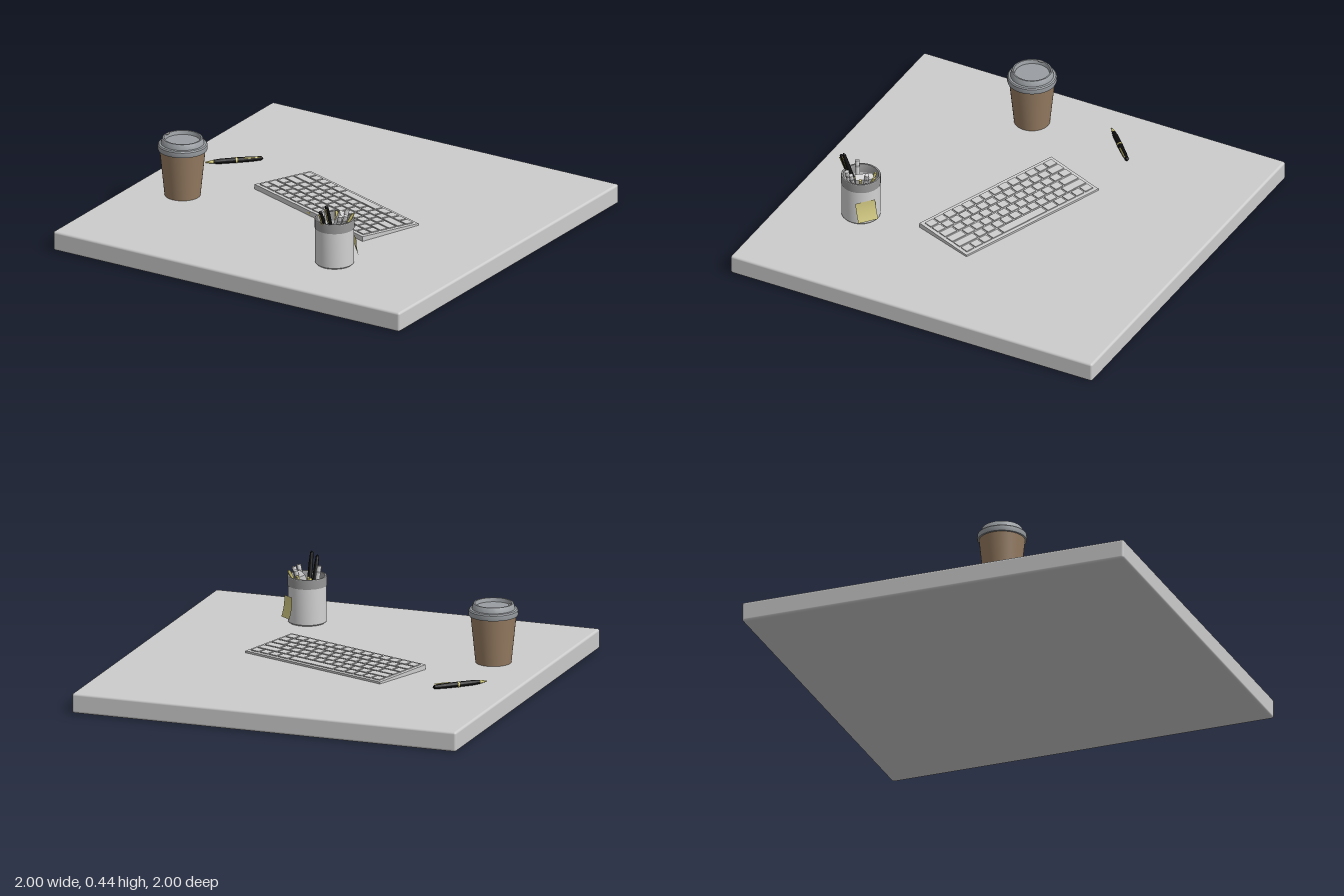
import * as THREE from 'three';
import { toCreasedNormals } from 'three/addons/utils/BufferGeometryUtils.js';
import { RoundedBoxGeometry } from 'three/addons/geometries/RoundedBoxGeometry.js';

const V = (x, y, z) => new THREE.Vector3(x, y, z);
const TOP = 0.1; // height of the desk surface

function makeMaterials() {
  const colors = {
    lightGrey: 0xcccccc, white: 0xd2d2d2, lidGrey: 0x9a9ea2, bandGrey: 0x969696,
    kraft: 0x967c62, black: 0x0c0c0c, gold: 0xd6cc78, noteYellow: 0xd2c982,
  };
  const mats = {};
  for (const [name, color] of Object.entries(colors)) {
    mats[name] = new THREE.MeshStandardMaterial({ color });
    mats[name].name = name;
  }
  mats.noteYellow.side = THREE.DoubleSide;
  return mats;
}

function add(parent, name, geometry, material, x = 0, y = 0, z = 0) {
  const mesh = new THREE.Mesh(geometry, material);
  mesh.name = name;
  mesh.position.set(x, y, z);
  parent.add(mesh);
  return mesh;
}

function group(parent, name, x, y, z) {
  const g = new THREE.Group();
  g.name = name;
  g.position.set(x, y, z);
  parent.add(g);
  return g;
}

// Turned shape from [radius, height] pairs, with sharp edges kept
function turned(profile, segments = 40) {
  const points = profile.map(([r, y]) => new THREE.Vector2(r, y));
  return toCreasedNormals(new THREE.LatheGeometry(points, segments), 0.5);
}

function buildCoffeeCup(root, m) {
  const cup = group(root, 'coffeeCup', -0.724, TOP, 0.255);
  add(cup, 'paperCup', turned([[0, 0.004], [0.082, 0.004], [0.084, 0], [0.088, 0], [0.113, 0.242]]), m.kraft);
  add(cup, 'lid', turned([
    [0.108, 0.236], [0.12, 0.238], [0.122, 0.244], [0.121, 0.264], [0.116, 0.27],
    [0.106, 0.272], [0.1, 0.295], [0.097, 0.299], [0.09, 0.299], [0.085, 0.28], [0, 0.28],
  ]), m.lidGrey);
  // Sip hole near the left edge of the recess
  const hole = add(cup, 'sipHole', new THREE.CylinderGeometry(0.008, 0.008, 0.003, 14), m.bandGrey, -0.087, 0.299, 0);
  hole.scale.z = 1.7;
}

// A pen standing along +y with its golden tip at y = 0
function makePen(m, length, r) {
  const pen = new THREE.Group();
  pen.name = 'pen';
  const tip = length * 0.14, mid = length * 0.52;
  add(pen, 'tip', turned([[0, 0], [r * 0.2, 0.002], [r * 0.7, tip]], 18), m.gold);
  add(pen, 'lowerBarrel', turned([[r * 0.7, tip], [r * 0.95, tip * 1.8], [r, mid]], 18), m.black);
  add(pen, 'middleRing', turned([[r, mid], [r * 1.1, mid], [r * 1.1, mid + 0.008], [r, mid + 0.008]], 18), m.gold);
  add(pen, 'upperBarrel', turned([[r, mid + 0.008], [r * 0.95, length * 0.8], [r * 0.72, length * 0.97], [0, length]], 18), m.black);
  add(pen, 'clip', new THREE.BoxGeometry(r * 0.45, length * 0.28, r * 0.3), m.gold, 0, length * 0.8, r * 1.15);
  add(pen, 'clipFoot', new THREE.BoxGeometry(r * 0.45, r * 0.5, r * 0.9), m.gold, 0, length * 0.93, r * 0.9);
  return pen;
}

// Place an upright object so that it runs from one point towards another
function aim(object, from, to) {
  object.position.copy(from);
  object.quaternion.setFromUnitVectors(V(0, 1, 0), to.clone().sub(from).normalize());
  return object;
}

function buildKeyboard(root, m) {
  const length = 0.862, depth = 0.344, low = 0.01, high = 0.025;
  const keyboard = group(root, 'keyboard', 0, TOP, -0.005);
  keyboard.rotation.y = -0.349;

  // Wedge case, thick along its rear (+z) edge
  const shell = new THREE.BoxGeometry(length, 1, depth);
  const p = shell.attributes.position;
  for (let i = 0; i < p.count; i++) {
    p.setY(i, p.getY(i) > 0 ? (p.getZ(i) > 0 ? high : low) : 0);
  }
  shell.computeVertexNormals();
  add(keyboard, 'keyboardCase', shell, m.lightGrey);
  add(keyboard, 'port', new THREE.BoxGeometry(0.024, 0.008, 0.002), m.gold, 0, 0.012, depth / 2);

  // Key rows from the rear to the near edge, as widths in key units
  const ones = (n) => Array(n).fill(1);
  const rows = [
    Array(14).fill(14.5 / 14),
    [...ones(13), 1.5],
    [1.5, ...ones(13)],
    [1.75, ...ones(11), 1.75],
    [2.25, ...ones(10), 2.25],
    [1, 1, 1, 1.25, 5, 1.25, 1, 1, 1, 1],
  ];
  const keys = group(keyboard, 'keys', 0, (low + high) / 2, 0);
  keys.rotation.x = -Math.atan((high - low) / depth);
  const unit = (length - 0.028) / 14.5, pitch = (depth - 0.028) / 6, gap = 0.009;
  rows.forEach((row, r) => {
    let x = 7.25 * unit;
    for (const w of row) {
      const key = new THREE.BoxGeometry(w * unit - gap, 0.005, pitch - gap);
      add(keys, 'key', key, m.lightGrey, x - (w * unit) / 2, 0.0022, (2.5 - r) * pitch);
      x -= w * unit;
    }
  });
}

function buildPencilCup(root, m) {
  const holder = group(root, 'pencilCup', 0.379, TOP, 0.61);
  add(holder, 'cupBody', turned([[0, 0], [0.088, 0], [0.095, 0.007], [0.095, 0.188]]), m.white);
  add(holder, 'cupBand', turned([[0.095, 0.188], [0.097, 0.188], [0.097, 0.232], [0.095, 0.235], [0.087, 0.235], [0.085, 0.23], [0.085, 0.188]]), m.bandGrey);
  add(holder, 'cupInside', turned([[0.085, 0.188], [0.085, 0.01], [0, 0.01]]), m.white);

  // Two black pens leaning to the front, golden end up on the second
  for (const [from, to] of [
    [V(-0.015, 0.05, 0.0), V(-0.01, 0.31, 0.118)],
    [V(0.0, 0.05, -0.01), V(0.01, 0.335, 0.092)],
  ]) {
    holder.add(aim(makePen(m, from.distanceTo(to), 0.0115), from, to));
  }

  // Grey markers fanned around the rim
  const markers = [
    [-0.02, 0.02, -0.046, 0.275, 0.045],
    [0.0, 0.0, 0.04, 0.27, -0.055],
    [0.01, 0.01, 0.075, 0.268, 0.015],
    [0.0, 0.03, 0.062, 0.272, 0.045],
  ];
  for (const [x, z, tx, ty, tz] of markers) {
    const from = V(x, 0.03, z), to = V(tx, ty, tz), len = from.distanceTo(to);
    const marker = aim(group(holder, 'marker', 0, 0, 0), from, to);
    add(marker, 'markerBody', new THREE.CylinderGeometry(0.011, 0.011, len, 14), m.white, 0, len / 2, 0);
    add(marker, 'markerCollar', new THREE.CylinderGeometry(0.0118, 0.0118, 0.01, 14), m.bandGrey, 0, len - 0.03, 0);
  }
  // Thin yellow pencils against the rear of the rim
  for (const [tx, ty, tz] of [[0.02, 0.25, -0.085], [0.082, 0.26, -0.04], [-0.03, 0.245, -0.066]]) {
    const from = V(-tx * 0.3, 0.03, -tz * 0.3), to = V(tx, ty, tz), len = from.distanceTo(to);
    const pencil = aim(group(holder, 'pencil', 0, 0, 0), from, to);
    add(pencil, 'pencilBody', new THREE.CylinderGeometry(0.007, 0.007, len, 6), m.gold, 0, len / 2, 0);
  }
  // Broad white block leaning across the opening
  const block = add(holder, 'eraserBlock', new THREE.BoxGeometry(0.036, 0.2, 0.09), m.white, 0.0, 0.155, -0.012);
  block.rotation.set(0, 0.65, -0.38);

  // Yellow note stuck on the outside, its lower edge curling away
  const paper = new THREE.PlaneGeometry(0.1, 0.105, 4, 8);
  const p = paper.attributes.position;
  for (let i = 0; i < p.count; i++) {
    const t = 0.5 - p.getY(i) / 0.105;
    p.setZ(i, 0.02 * t * t);
  }
  paper.computeVertexNormals();
  const mount = group(holder, 'noteMount', 0, 0, 0);
  mount.rotation.y = Math.PI * 0.74;
  const note = add(mount, 'stickyNote', paper, m.noteYellow, 0, 0.085, 0.098);
  note.rotation.z = 0.1;
}

export function createModel() {
  const root = new THREE.Group();
  root.name = 'deskSet';
  const m = makeMaterials();

  add(root, 'deskTop', new RoundedBoxGeometry(2, TOP, 2, 3, 0.012), m.lightGrey, 0, TOP / 2, 0);
  buildCoffeeCup(root, m);
  buildKeyboard(root, m);
  buildPencilCup(root, m);

  // Pen lying on the desk
  const from = V(-0.835, TOP + 0.014, -0.125), to = V(-0.625, TOP + 0.014, -0.325);
  const pen = makePen(m, from.distanceTo(to), 0.0135);
  pen.name = 'deskPen';
  root.add(aim(pen, from, to));
  return root;
}
